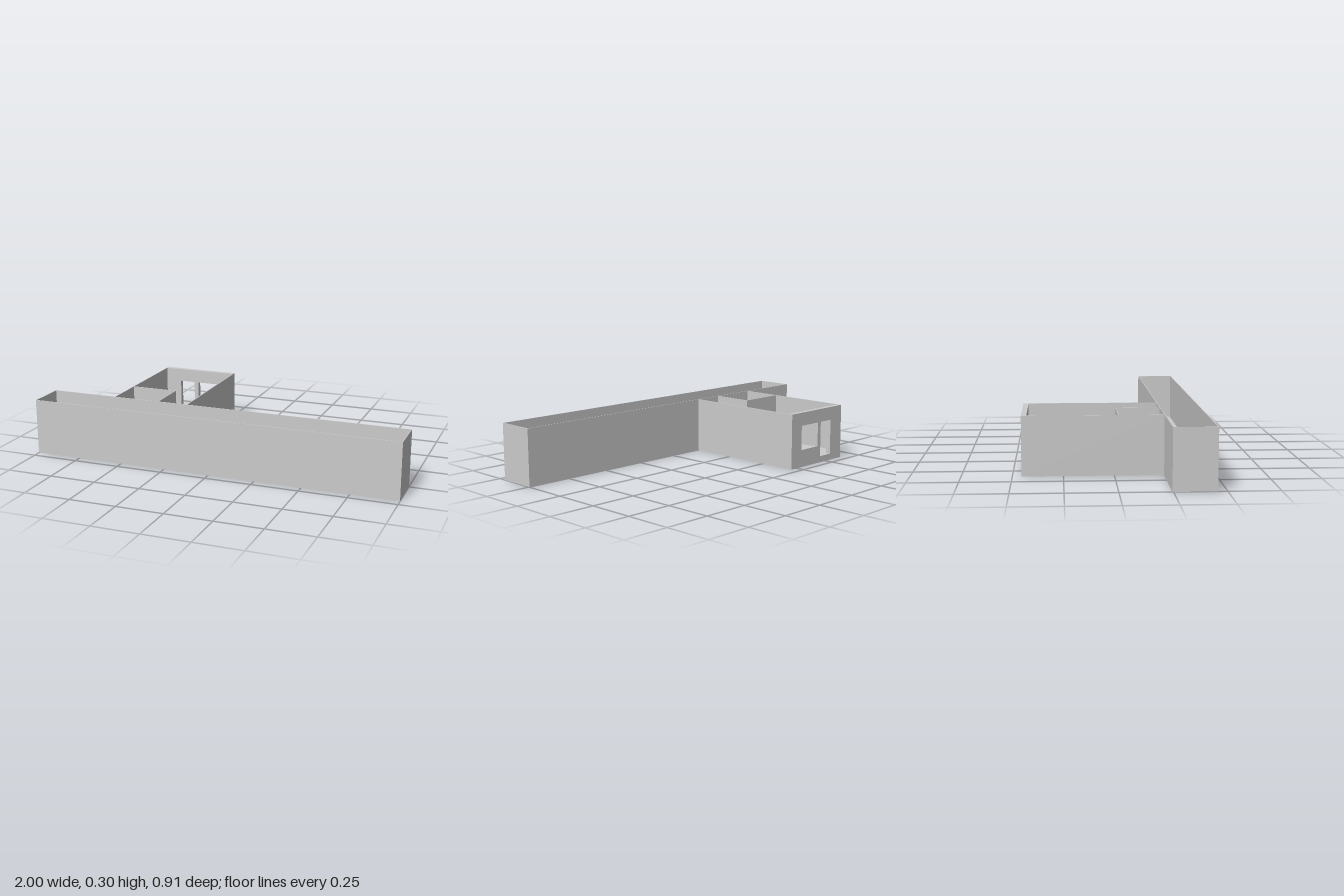
import * as THREE from 'three';

const H = 0.3;        // wall height
const T = 0.004;      // thin wall thickness
const FLOOR = 0.035;  // floor level and door sill
const HEAD = 0.228;   // top of all openings

const material = new THREE.MeshStandardMaterial({ color: 0xcccccc, flatShading: true });

// Closed outline from corner points
function outline(points, Type = THREE.Shape) {
  const shape = new Type();
  points.forEach(([x, y], i) => (i ? shape.lineTo(x, y) : shape.moveTo(x, y)));
  shape.closePath();
  return shape;
}

const rect = (a, b, y0, y1) => [[a, y0], [b, y0], [b, y1], [a, y1]];

// Upright wall from a to b, with openings given as [start, end, bottom, top]
function wallGeometry(a, b, thickness, openings) {
  const shape = outline(rect(a, b, 0, H));
  openings.forEach((o) => shape.holes.push(outline(rect(...o).reverse(), THREE.Path)));
  return new THREE.ExtrudeGeometry(shape, { depth: thickness, bevelEnabled: false });
}

export function createModel() {
  const model = new THREE.Group();
  model.name = 'roomAndCorridor';

  const add = (name, geometry) => {
    const mesh = new THREE.Mesh(geometry, material);
    mesh.name = name;
    model.add(mesh);
  };
  // Wall running along x, its back face at z
  const wallX = (name, a, b, z, thickness = T, openings = []) =>
    add(name, wallGeometry(a, b, thickness, openings).translate(0, 0, z));
  // Wall running along z, its left face (toward +x) at x
  const wallZ = (name, a, b, x, thickness = T, openings = []) =>
    add(name, wallGeometry(a, b, thickness, openings).rotateY(-Math.PI / 2).translate(x, 0, 0));

  // T-shaped floor slab under corridor and room
  const plan = outline([
    [-0.998, -0.453], [0.998, -0.453], [0.998, -0.247], [-0.207, -0.247],
    [-0.207, 0.453], [-0.628, 0.453], [-0.628, -0.247], [-0.998, -0.247],
  ]);
  add('floor', new THREE.ExtrudeGeometry(plan, { depth: FLOOR, bevelEnabled: false }).rotateX(-Math.PI / 2));

  // Corridor shell, with the entrance door into the room
  wallX('corridorFrontWall', -1, 1, 0.455 - T);
  wallX('corridorBackWall', -1, 1, 0.245, T, [[-0.355, -0.27, FLOOR, HEAD]]);
  wallZ('corridorRightEnd', 0.245, 0.455, -1 + T);
  wallZ('corridorLeftEnd', 0.245, 0.455, 1);

  // Room side walls
  wallZ('roomRightWall', -0.455, 0.245, -0.632 + T);
  wallZ('roomLeftWall', -0.455, 0.245, -0.203, 0.006);

  // Thick outer wall with window and balcony door
  wallX('roomOuterWall', -0.632, -0.203, -0.455, 0.027, [
    [-0.425, -0.285, 0.095, HEAD],
    [-0.538, -0.45, FLOOR, HEAD],
  ]);

  // Small bathroom in the corner beside the entrance
  wallX('bathroomBackWall', -0.63, -0.37, 0.018);
  wallZ('bathroomSideWall', 0.018, 0.245, -0.37, T, [[0.1, 0.185, FLOOR, HEAD]]);

  return model;
}
